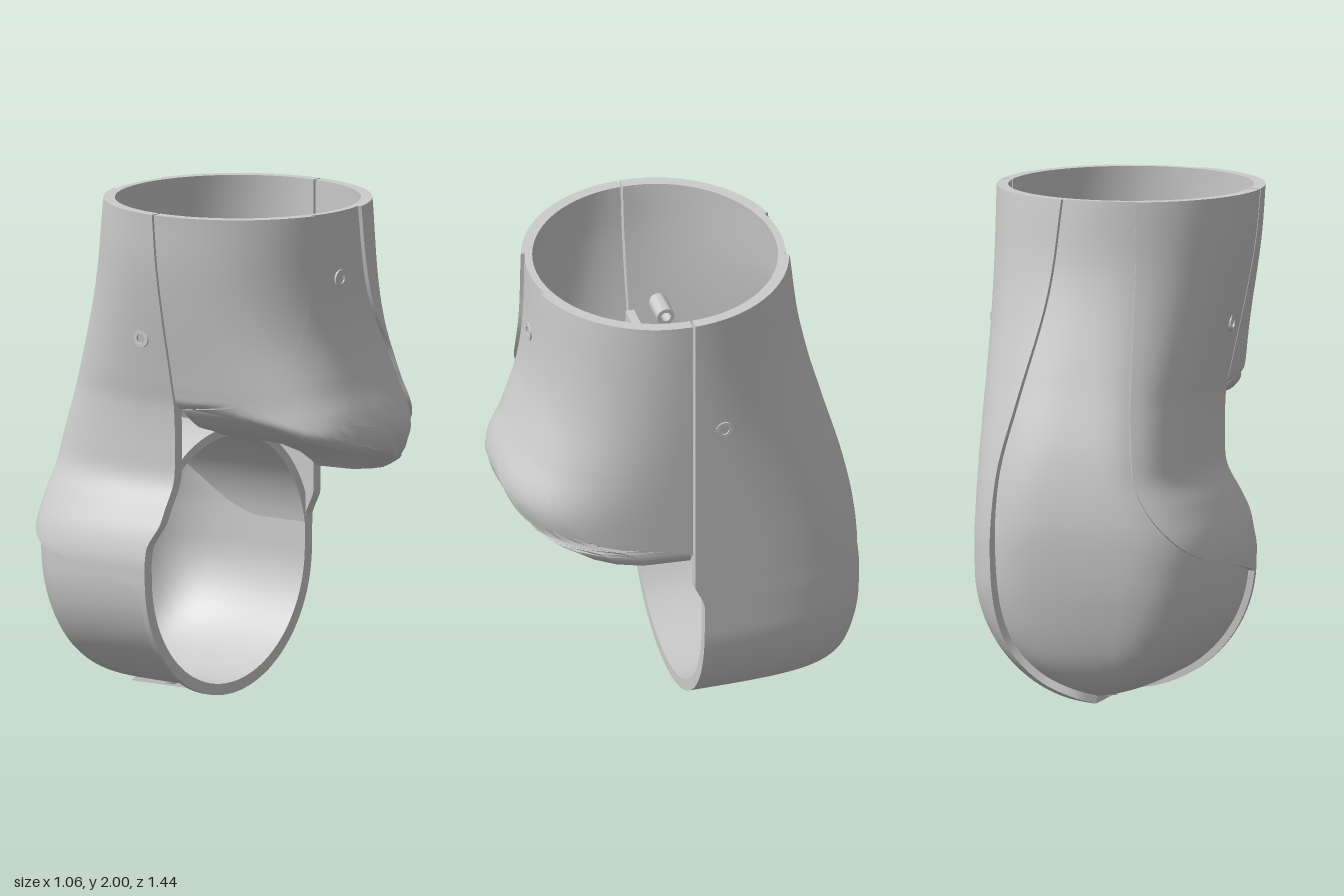
import * as THREE from 'three';
import { toCreasedNormals } from 'three/addons/utils/BufferGeometryUtils.js';

const material = new THREE.MeshStandardMaterial({ color: 0xcccccc, side: THREE.DoubleSide });
const N = 16; // columns per panel
const WALL = 0.045;

// Smooth curve through [position, value] pairs, positions ascending
function curve(p) {
  const slope = (i) => {
    const a = p[Math.max(0, i - 1)], b = p[Math.min(p.length - 1, i + 1)];
    return (b[1] - a[1]) / (b[0] - a[0]);
  };
  return (x) => {
    x = Math.min(Math.max(x, p[0][0]), p[p.length - 1][0]);
    let i = 0;
    while (i < p.length - 2 && x > p[i + 1][0]) i++;
    const h = p[i + 1][0] - p[i][0], t = (x - p[i][0]) / h, t2 = t * t, t3 = t2 * t;
    return (2 * t3 - 3 * t2 + 1) * p[i][1] + (t3 - 2 * t2 + t) * h * slope(i)
      + (3 * t2 - 2 * t3) * p[i + 1][1] + (t3 - t2) * h * slope(i + 1);
  };
}

// Surface from rows of points
function loft(rows, flip) {
  const w = rows[0].length, index = [];
  for (let r = 0; r < rows.length - 1; r++) {
    for (let c = 0; c < w - 1; c++) {
      const a = r * w + c, b = a + 1, d = a + w, e = d + 1;
      if (flip) index.push(a, b, d, b, e, d);
      else index.push(a, d, b, b, d, e);
    }
  }
  const g = new THREE.BufferGeometry();
  g.setAttribute('position', new THREE.Float32BufferAttribute(rows.flat(2), 3));
  g.setIndex(index);
  return toCreasedNormals(g, 0.55);
}

function add(parent, name, geometry) {
  const m = new THREE.Mesh(geometry, material);
  m.name = name;
  parent.add(m);
  return m;
}

// Columns of a half shell: side panel, recessed middle panel, side panel
const columns = [];
for (let panel = 0; panel < 3; panel++)
  for (let k = 0; k <= N; k++) columns.push({ panel, k: k / N });

// Point on a half section (rounded-square curve) at height y
function sectionPoint(s, col, y, inset) {
  const e = 2 / s.power(y);
  const stops = [0, s.edgeRight(y), s.edgeLeft(y), Math.PI]
    .map((a) => THREE.MathUtils.clamp(a, 0, Math.PI));
  const th = THREE.MathUtils.lerp(stops[col.panel], stops[col.panel + 1], col.k);
  const c = Math.cos(th), sn = Math.sin(th);
  const half = c > 0 ? s.right(y) : s.left(y);
  const x = Math.sign(c) * Math.max(0, half - inset) * Math.abs(c) ** e;
  return [x, y, s.seam(y) + s.dir * (s.depth(y) - inset) * (sn < 1e-6 ? 0 : sn ** e)];
}

// Walled half shell: outside and inside skins, rims and the two seam faces
function halfShell(parent, name, s, rowCount) {
  const group = new THREE.Group();
  group.name = name;
  parent.add(group);
  const row = (v, inside) => columns.map((c) => s.point(c, v, inside));
  const outer = [], inner = [];
  for (let i = 0; i <= rowCount; i++) {
    outer.push(row(i / rowCount, false));
    inner.push(row(i / rowCount, true));
  }
  const flip = s.dir < 0;
  add(group, 'outerSkin', loft(outer, flip));
  add(group, 'innerSkin', loft(inner, !flip));
  add(group, 'topRim', loft([inner[0], outer[0]], flip));
  add(group, 'lowerRim', loft([outer[rowCount], inner[rowCount]], flip));
  for (const c of [0, columns.length - 1])
    add(group, 'seamFace', loft([outer.map((r) => r[c]), inner.map((r) => r[c])], flip === (c === 0)));
  return { group, lip: inner[rowCount] };
}

const upperLeft = [[1.2, 0.39], [1.3, 0.41], [1.6, 0.475], [1.8, 0.51], [2, 0.53]];

// Front plate; panel edges are angles around the section
const lip = curve([[0, 0.85], [1, 0.855], [1.15, 0.885], [1.25, 0.925], [1.32, 0.975], [1.43, 1.055],
  [1.5, 1.085], [1.62, 1.11], [1.75, 1.15], [2, 1.2], [3, 1.2]]);
const front = {
  dir: 1,
  seam: () => 0.05,
  right: () => 0.53,
  left: curve([[0.8, 0.38], ...upperLeft]),
  depth: curve([[0.85, 0.56], [0.93, 0.6], [1.12, 0.685], [1.3, 0.62], [1.5, 0.56], [1.7, 0.535], [2, 0.53]]),
  power: curve([[0.8, 3.3], [1.1, 3.1], [1.5, 2.4], [2, 2]]),
  edgeRight: curve([[0.92, 0], [0.95, 0.12], [1, 0.45], [1.15, 0.78], [1.3, 0.93], [1.4, 1.0], [1.6, 1.2], [1.8, 1.27], [2, 1.3]]),
  edgeLeft: curve([[1.2, 3.14], [1.25, 2.75], [1.4, 2.22], [1.6, 1.93], [1.8, 1.88], [2, 1.86]]),
  point(col, v, inside) {
    const y = THREE.MathUtils.lerp(2, lip(col.panel + col.k), v);
    const roll = 0.025 * Math.max(0, (v - 0.95) / 0.05) ** 2;
    const step = col.panel === 1 ? 0.015 : 0;
    return sectionPoint(front, col, y, inside ? WALL : step + roll);
  },
};

// Back shell: straight on one side, pinched on the other, rounded into a barrel below
const R = 0.525;
const round = (y) => Math.sqrt(Math.max(0, R * R - (y - R) ** 2));
const backRight = curve([[R, R], [0.8, 0.53], [2, 0.53]]);
const backLeft = curve([[R, R], [0.6, 0.525], [0.7, 0.5], [0.8, 0.45], [0.9, 0.395], [1, 0.385], ...upperLeft]);
const backReach = curve([[0, 0.49], [0.03, 0.57], [0.09, 0.635], [0.2, 0.685], [0.4, 0.725], [0.58, 0.74],
  [0.75, 0.735], [1, 0.695], [1.3, 0.615], [1.7, 0.515], [2, 0.48]]);
const backStep = curve([[0, 0.028], [0.5, 0.025], [0.9, 0.016], [2, 0.015]]);
const backEdgeX = curve([[0, 0], [0.1, 0.2], [0.25, 0.33], [0.5, 0.38], [0.9, 0.37], [1.2, 0.3], [1.6, 0.2], [2, 0.15]]);
const back = {
  dir: -1,
  seam: curve([[0.62, 0], [0.66, 0.002], [0.74, 0.038], [0.78, 0.04]]),
  right: (y) => (y < R ? round(y) : backRight(y)),
  left: (y) => (y < R ? round(y) : backLeft(y)),
  depth: (y) => backReach(y) + back.seam(y),
  power: curve([[0, 3.9], [0.7, 3.8], [1.1, 3.1], [1.5, 2.4], [2, 2]]),
  edgeRight: (y) => Math.acos(Math.min(0.99, backEdgeX(y) / Math.max(back.right(y), 1e-4)) ** (back.power(y) / 2)),
  edgeLeft: curve([[0.5, 3.14], [0.54, 3.0], [0.6, 2.5], [0.66, 2.2], [0.78, 1.97], [1, 1.9], [2, 1.86]]),
  point(col, v, inside) {
    if (v < 0.65) {
      const y = THREE.MathUtils.lerp(2, R, v / 0.65);
      return sectionPoint(back, col, y, inside ? WALL : col.panel === 1 ? backStep(y) : 0);
    }
    // barrel: shrink the round section towards its axis
    const phi = (v - 0.65) / 0.35 * Math.PI / 2, y = R - R * Math.sin(phi);
    const step = inside ? WALL : col.panel === 1 ? backStep(y) : 0;
    const k = (R - step) / R;
    const x = sectionPoint(back, col, y, 0)[0], z = sectionPoint(back, col, y, step)[2];
    return [x * k, R - (R - y) * k, z];
  },
};

// Arched ceiling over the barrel, ending on the inside of the back wall
function archCeiling() {
  const rows = [];
  for (let i = 0; i <= 40; i++) {
    const a = THREE.MathUtils.lerp(0.15, 2.36, i / 40);
    const at = (r, deep) => {
      const x = r * Math.cos(a), y = 0.55 + r * Math.sin(a), n = back.power(y);
      const half = (x > 0 ? back.right(y) : back.left(y)) - WALL + 0.01;
      const reach = Math.max(0, 1 - Math.abs(x / half) ** n) ** (1 / n) * (back.depth(y) - WALL + 0.01);
      return [x, y, deep ? Math.min(0, back.seam(y) - reach) : 0];
    };
    rows.push([at(0.485, false), at(0.485, true), at(0.52, true), at(0.52, false), at(0.485, false)]);
  }
  return loft(rows, false);
}

// Hollow screw post along +y, starting at the origin
function post(parent, name, length, position, rotation) {
  const profile = [[0.02, 0], [0.036, 0], [0.036, length], [0.02, length], [0.02, 0]]
    .map(([x, y]) => new THREE.Vector2(x, y));
  const m = add(parent, name, toCreasedNormals(new THREE.LatheGeometry(profile, 24), 0.5));
  m.position.set(...position);
  m.rotation.set(...rotation);
}

export function createModel() {
  const model = new THREE.Group();
  model.name = 'limbShell';
  const plate = halfShell(model, 'frontPlate', front, 64);
  const shell = halfShell(model, 'backShell', back, 120);

  // Underside of the front plate, running back to the seam
  add(plate.group, 'underside', loft([plate.lip, plate.lip.map(([x, y]) => [x, y, 0.05])], false));
  add(shell.group, 'archCeiling', archCeiling());

  // Screw posts
  post(plate.group, 'frontPost', 0.205, [0, 1.73, 0.37], [Math.PI / 2, 0, 0]);
  post(shell.group, 'leftPost', 0.242, [0.29, 1.48, -0.08], [0, 0, -Math.PI / 2]);
  post(shell.group, 'rightPost', 0.162, [-0.29, 1.48, -0.08], [0, 0, Math.PI / 2]);
  post(shell.group, 'bottomPost', 0.065, [0, 0.012, -0.3], [0, 0, 0]);

  // Alignment tabs across the seam
  for (const [x, w] of [[0.38, 0.18], [-0.34, 0.1]]) {
    const tab = add(shell.group, 'seamTab', new THREE.BoxGeometry(w, 0.14, 0.035));
    tab.position.set(x, 1.4, 0.04);
  }
  return model;
}
